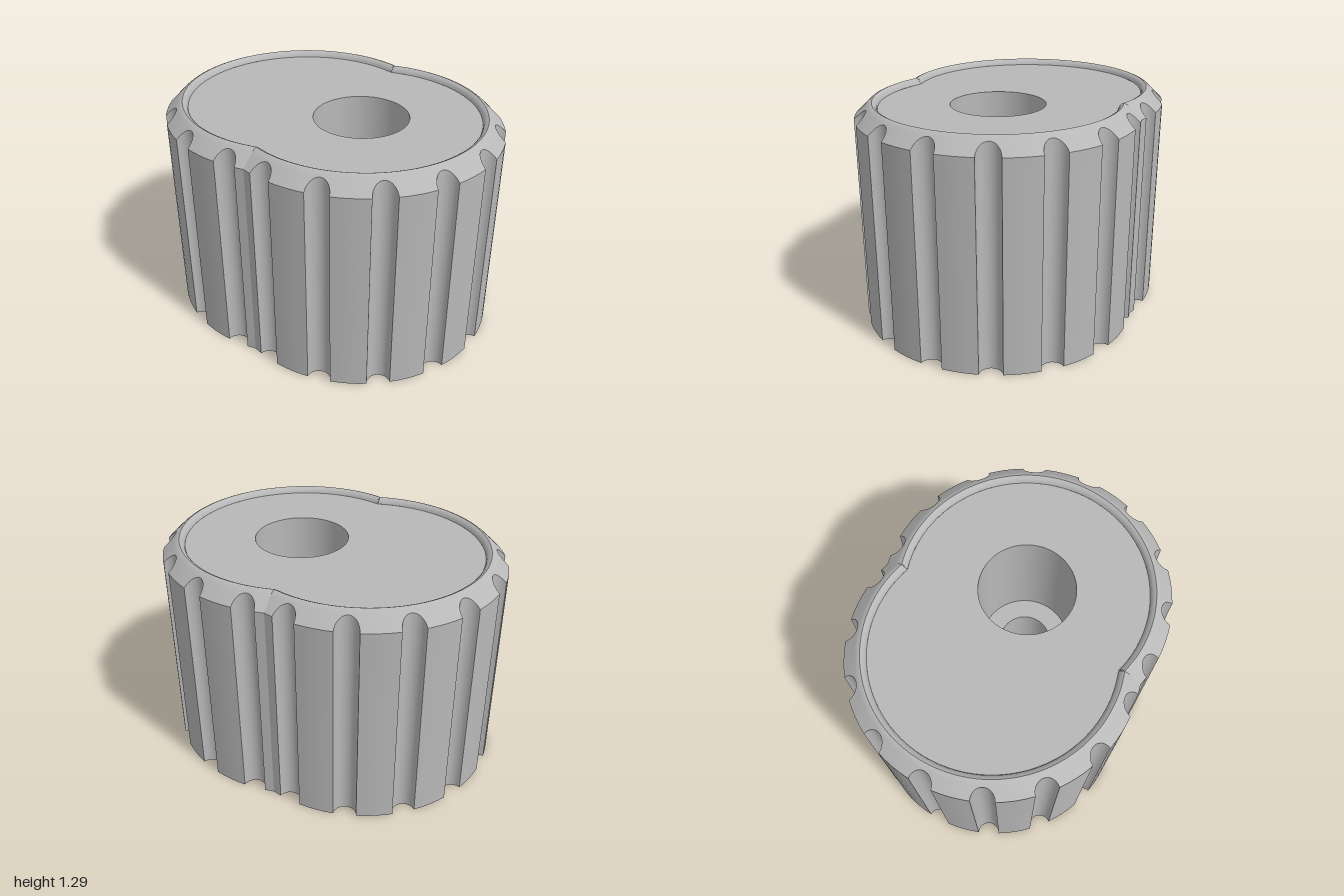
import * as THREE from 'three';
import { toCreasedNormals } from 'three/addons/utils/BufferGeometryUtils.js';

const R = 0.8, OFFSET = 0.2, GROOVE = 0.065, RIM = 0.67, FACE_Y = 1.255;
const BORE = 0.27, HOLE = 0.155, BORE_FLOOR = 0.5;
const STEP = THREE.MathUtils.degToRad(24);
const HALF = 2 * Math.asin(GROOVE / (2 * R)); // half angle of one groove
const SEAM = Math.acos(-OFFSET / R);          // where the two round lobes meet
const RIM_SEAM = Math.acos(-OFFSET / RIM);

// Rim profile: bevel, rounded lip, slightly sunken face [radius, height]
const PROFILE = [[R, 1.205], [0.73, 1.272], [0.715, 1.284], [0.7, 1.29],
  [0.685, 1.282], [0.675, 1.27], [RIM, FACE_Y]];

function rimHeight(r) {
  for (let i = 1; i < PROFILE.length; i++) {
    const [r0, y0] = PROFILE[i - 1], [r1, y1] = PROFILE[i];
    if (r >= r1) return y0 + (y1 - y0) * (r0 - r) / (r0 - r1);
  }
  return FACE_Y;
}

// Distance from the lobe centre to the grooved outline at angle a
function outlineRadius(a) {
  if (Math.abs(a) > SEAM) return -OFFSET / Math.cos(a);
  const d = a - Math.round(a / STEP) * STEP;
  if (Math.abs(d) >= HALF - 1e-6) return R;
  return R * Math.cos(d) - Math.sqrt(Math.max(0, GROOVE ** 2 - (R * Math.sin(d)) ** 2));
}

// Angles across one lobe, dense inside the grooves
function lobeAngles() {
  const list = [];
  for (let k = -4; k <= 4; k++) {
    for (let i = 0; i <= 14; i++) list.push(k * STEP + HALF * Math.sin((i / 14 - 0.5) * Math.PI));
    if (k < 4) for (const f of [0.25, 0.5, 0.75]) list.push(k * STEP + HALF + f * (STEP - 2 * HALF));
  }
  for (let i = 0; i <= 4; i++) {
    const a = SEAM + (RIM_SEAM - SEAM) * i / 4;
    list.push(a, -a);
  }
  return list.sort((a, b) => a - b);
}

const point = (a, r, y) => new THREE.Vector3(r * Math.sin(a), y, OFFSET + r * Math.cos(a));

// Grooved wall plus bevelled rim of one lobe
function lobeGeometry(angles) {
  const pos = [];
  const triangle = (a, b, c) => {
    const area = b.clone().sub(a).cross(c.clone().sub(a)).length();
    if (area > 1e-9) for (const p of [a, b, c]) pos.push(p.x, p.y, p.z);
  };
  const quad = (a, b, c, d) => { triangle(a, b, c); triangle(a, c, d); };
  for (let i = 1; i < angles.length; i++) {
    const a = angles[i - 1], b = angles[i];
    const ra = outlineRadius(a), rb = outlineRadius(b);
    if (Math.abs(a + b) / 2 < SEAM) {
      quad(point(a, ra, 0), point(b, rb, 0), point(b, rb, rimHeight(rb)), point(a, ra, rimHeight(ra)));
    }
    for (let k = 1; k < PROFILE.length; k++) {
      const at = (ang, max, j) => {
        const r = Math.min(max, PROFILE[j][0]);
        return point(ang, r, rimHeight(r));
      };
      quad(at(a, ra, k - 1), at(b, rb, k - 1), at(b, rb, k), at(a, ra, k));
    }
  }
  const geo = new THREE.BufferGeometry();
  geo.setAttribute('position', new THREE.Float32BufferAttribute(pos, 3));
  return toCreasedNormals(geo, 0.6);
}

// Flat cap from one lobe's edge, repeated half a turn round, with a round hole
function capGeometry(angles, radiusAt, holeRadius, facing) {
  const half = angles.map(a => point(a, radiusAt(a), 0));
  const pts = [...half, ...half.map(p => new THREE.Vector3(-p.x, 0, -p.z))];
  const shape = new THREE.Shape(pts.map(p => new THREE.Vector2(p.x, -facing * p.z)));
  const hole = new THREE.Path();
  hole.absarc(0, -facing * OFFSET, holeRadius, 0, Math.PI * 2, true);
  shape.holes.push(hole);
  return new THREE.ShapeGeometry(shape, 32).rotateX(-facing * Math.PI / 2);
}

export function createModel() {
  const group = new THREE.Group();
  group.name = 'knob';
  const grey = new THREE.MeshStandardMaterial({ color: 0xb8b8b8, side: THREE.DoubleSide });
  grey.name = 'grey';
  const add = (name, geo, x = 0, y = 0, z = 0) => {
    const mesh = new THREE.Mesh(geo, grey);
    mesh.name = name;
    mesh.position.set(x, y, z);
    group.add(mesh);
    return mesh;
  };

  // Two matching lobes
  const angles = lobeAngles();
  const lobe = lobeGeometry(angles);
  add('frontLobe', lobe);
  add('backLobe', lobe).rotation.y = Math.PI;

  // Top face inside the lip, and underside
  const rimAngles = Array.from({ length: 65 }, (_, i) => RIM_SEAM * (i / 32 - 1));
  add('topFace', capGeometry(rimAngles.slice(0, -1), () => RIM, BORE, 1), 0, FACE_Y);
  const baseAngles = angles.filter(a => a > -SEAM + 1e-6 && a <= SEAM);
  add('underside', capGeometry(baseAngles, outlineRadius, HOLE, -1));

  // Stepped hole
  const tube = (r, h) => new THREE.CylinderGeometry(r, r, h, 64, 1, true);
  add('wideBore', tube(BORE, FACE_Y - BORE_FLOOR), 0, (FACE_Y + BORE_FLOOR) / 2, OFFSET);
  add('boreFloor', new THREE.RingGeometry(HOLE, BORE, 64).rotateX(-Math.PI / 2), 0, BORE_FLOOR, OFFSET);
  add('throughHole', tube(HOLE, BORE_FLOOR), 0, BORE_FLOOR / 2, OFFSET);
  return group;
}
